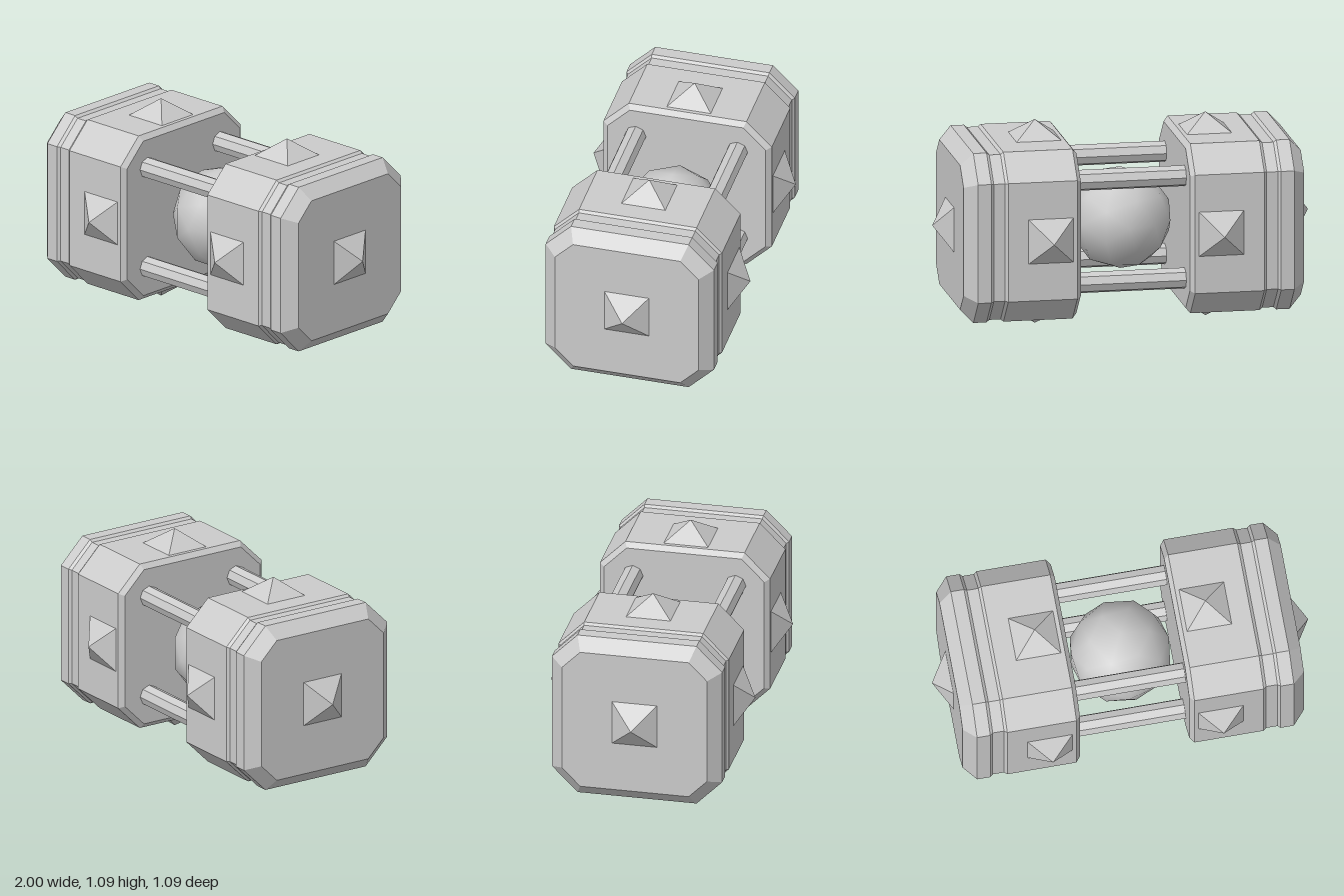
import * as THREE from 'three';

const MID = 0.547; // height of the long axis

// Octagonal sections [x, half width, half length of flat side] lofted along x
function loft(sections) {
  const pos = [], idx = [];
  for (const [x, h, c] of sections) {
    const ring = [[h, -c], [h, c], [c, h], [-c, h], [-h, c], [-h, -c], [-c, -h], [c, -h]];
    for (const [y, z] of ring) pos.push(x, y, z);
  }
  const last = (sections.length - 1) * 8;
  for (let i = 0; i < last; i += 8) {
    for (let j = 0; j < 8; j++) {
      const k = (j + 1) % 8;
      idx.push(i + j, i + k, i + 8 + j, i + k, i + 8 + k, i + 8 + j);
    }
  }
  // End faces
  for (let j = 1; j < 7; j++) {
    idx.push(0, j + 1, j, last, last + j, last + j + 1);
  }
  const indexed = new THREE.BufferGeometry();
  indexed.setAttribute('position', new THREE.Float32BufferAttribute(pos, 3));
  indexed.setIndex(idx);
  const geometry = indexed.toNonIndexed();
  geometry.computeVertexNormals();
  return geometry;
}

export function createModel() {
  const model = new THREE.Group();
  const flat = new THREE.MeshStandardMaterial({ color: 0xcccccc, flatShading: true });
  const smooth = new THREE.MeshStandardMaterial({ color: 0xcccccc });

  const add = (parent, name, geometry, material = flat) => {
    const mesh = new THREE.Mesh(geometry, material);
    mesh.name = name;
    parent.add(mesh);
    return mesh;
  };

  // Bevelled block with a shallow groove near its outer end
  const headGeometry = loft([
    [0.29, 0.428, 0.307], [0.313, 0.455, 0.318],
    [0.68, 0.455, 0.318], [0.695, 0.443, 0.315],
    [0.755, 0.443, 0.315], [0.77, 0.455, 0.318],
    [0.84, 0.455, 0.318], [0.905, 0.388, 0.29],
  ]);

  // Square pyramid with its base on y = 0
  const spikeGeometry = new THREE.ConeGeometry(0.12 * Math.SQRT2, 0.093, 4);
  spikeGeometry.rotateY(Math.PI / 4).translate(0, 0.0465, 0);

  for (const side of [1, -1]) {
    const head = new THREE.Group();
    head.name = side > 0 ? 'leftHead' : 'rightHead';
    head.position.y = MID;
    head.rotation.y = side > 0 ? 0 : Math.PI;
    model.add(head);
    add(head, 'block', headGeometry);

    // Spikes around the block and on its outer end
    for (let i = 0; i < 4; i++) {
      const a = i * Math.PI / 2;
      const spike = add(head, 'sideSpike', spikeGeometry);
      spike.rotation.x = a;
      spike.position.set(0.453, Math.cos(a) * 0.454, Math.sin(a) * 0.454);
    }
    const endSpike = add(head, 'endSpike', spikeGeometry);
    endSpike.rotation.z = -Math.PI / 2;
    endSpike.position.x = 0.905;
  }

  // Four eight-sided rods joining the heads
  const rodGeometry = new THREE.CylinderGeometry(0.056, 0.056, 0.62, 8);
  rodGeometry.rotateZ(Math.PI / 2);
  for (const y of [-0.275, 0.275]) {
    for (const z of [-0.275, 0.275]) {
      add(model, 'rod', rodGeometry).position.set(0, MID + y, z);
    }
  }

  // Ball held between the rods, one corner pointing to the front
  const ballGeometry = new THREE.IcosahedronGeometry(0.273, 1);
  ballGeometry.rotateX(Math.atan(2 / (1 + Math.sqrt(5)))).rotateZ(Math.PI / 2);
  add(model, 'ball', ballGeometry, smooth).position.y = MID;

  return model;
}
